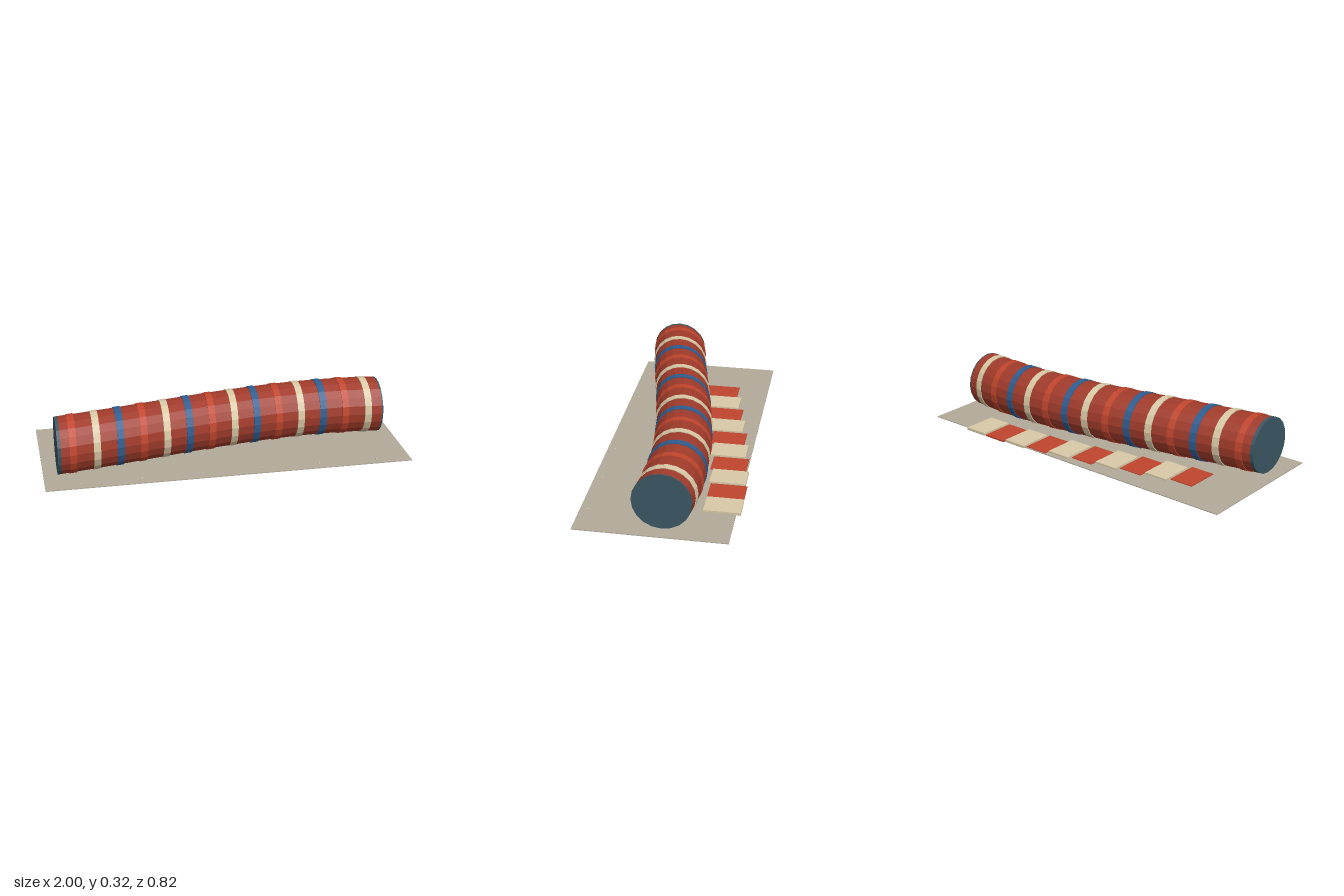
import * as THREE from 'three';

const mat = (name, color) => {
  const m = new THREE.MeshStandardMaterial({ color });
  m.name = name;
  return m;
};

export function createModel() {
  const model = new THREE.Group();
  model.name = 'playTunnel';

  const fabric = mat('brick red', 0xa03b2b);
  const red = mat('bright red', 0xc0452d);
  const cream = mat('cream', 0xd8c9a6);
  const blue = mat('blue', 0x2f5d8f);
  const slate = mat('dark slate', 0x3b5663);
  const stone = mat('warm grey', 0xb2aa9a);

  const add = (name, geometry, material, x = 0, y = 0, z = 0) => {
    const mesh = new THREE.Mesh(geometry, material);
    mesh.name = name;
    mesh.position.set(x, y, z);
    model.add(mesh);
  };

  // Sideways sweep of the tunnel's centre line along x
  const bend = (x) => 0.002 - 0.1814 * x + 0.082 * x * x + 0.0685 * x ** 3;

  // Faceted 20-sided sleeve between two x positions, following the bend
  const sleeve = (x0, x1, radius, steps = 1) => {
    const g = new THREE.CylinderGeometry(radius, radius, x1 - x0, 20, steps);
    g.rotateZ(Math.PI / 2).translate((x0 + x1) / 2, 0.16, 0);
    const p = g.attributes.position;
    for (let i = 0; i < p.count; i++) p.setZ(i, p.getZ(i) + bend(p.getX(i)));
    const flat = g.toNonIndexed();
    flat.computeVertexNormals();
    return flat;
  };

  // Tunnel body and end discs
  add('tunnelBody', sleeve(-0.905, 0.912, 0.156, 28), fabric);
  add('rightEndDisc', sleeve(-0.923, -0.905, 0.156), slate);
  add('leftEndDisc', sleeve(0.912, 0.92, 0.156), slate);

  // Raised coloured hoops
  const hoopColours = [red, cream, blue];
  for (let i = 0; i < 14; i++) {
    const x = -0.84 + i * 0.129;
    add('hoop' + (i + 1), sleeve(x - 0.019, x + 0.019, 0.16), hoopColours[i % 3]);
  }

  // Base plate
  add('basePlate', new THREE.BoxGeometry(2, 0.0046, 0.8), stone, 0, 0.0027, 0.006);

  // Stepping tiles behind the tunnel
  for (let i = 0; i < 10; i++) {
    const x = -0.648 + i * 0.1452;
    const height = i % 2 ? 0.015 : 0.009;
    add('tile' + (i + 1), new THREE.BoxGeometry(0.138, height, 0.195),
      i % 2 ? cream : red, x, height / 2, bend(x) - 0.257);
  }

  // Small pegs along the front edge
  for (let i = 0; i < 6; i++) {
    add('peg' + (i + 1), new THREE.CylinderGeometry(0.005, 0.005, 0.008, 8),
      cream, -0.81 + i * 0.324, 0.008, 0.363);
  }

  return model;
}
